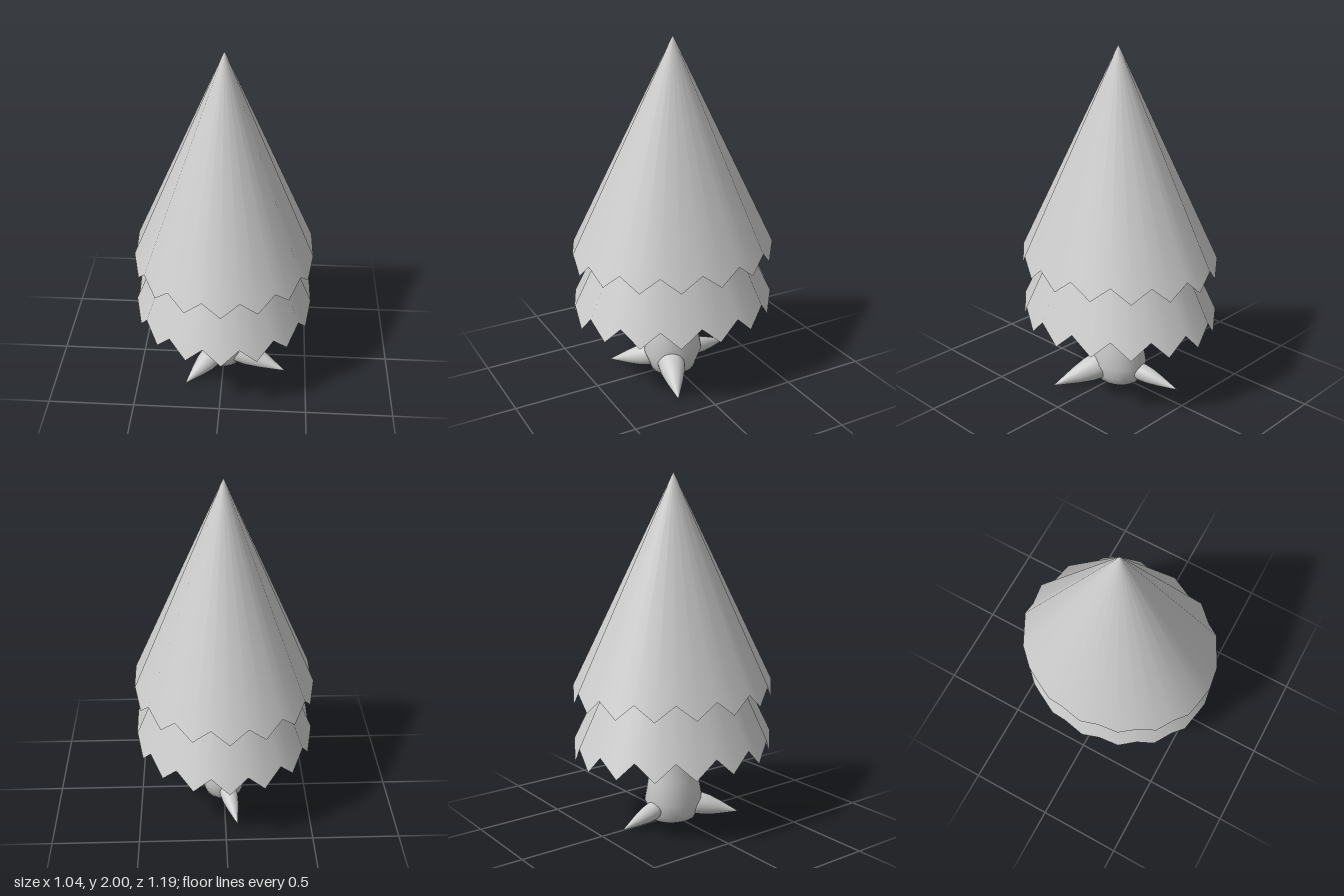
import * as THREE from 'three';

const TEETH = 16;
const material = new THREE.MeshStandardMaterial({ color: 0xcccccc, side: THREE.DoubleSide });

// Open cone whose rim alternates between low tips and high notches
function foliageTier(name, apexY, notchY, tipY) {
  const height = apexY - tipY;
  const geo = new THREE.ConeGeometry(1, height, TEETH * 2, 1, true);
  geo.translate(0, tipY + height / 2, 0);
  const pos = geo.attributes.position;
  const row = TEETH * 2 + 1;
  for (let i = 0; i < row; i++) {
    if (i % 2) pos.setY(row + i, notchY);
  }
  geo.rotateY(0.03);
  geo.scale(0.518, 1, 0.593);
  const mesh = new THREE.Mesh(geo, material);
  mesh.name = name;
  return mesh;
}

// Tapered spike with a rounded head, running from head to tip
function root(name, head, tip, r) {
  const from = new THREE.Vector3(...head);
  const axis = new THREE.Vector3(...tip).sub(from);
  const len = axis.length();
  const profile = [];
  for (let i = 0; i <= 6; i++) {
    const a = (i / 6) * Math.PI / 2;
    profile.push(new THREE.Vector2(r * Math.sin(a), -r * Math.cos(a)));
  }
  profile.push(
    new THREE.Vector2(r * 0.9, len * 0.22),
    new THREE.Vector2(r * 0.62, len * 0.5),
    new THREE.Vector2(0, len)
  );
  const mesh = new THREE.Mesh(new THREE.LatheGeometry(profile, 24), material);
  mesh.name = name;
  mesh.position.copy(from);
  mesh.quaternion.setFromUnitVectors(new THREE.Vector3(0, 1, 0), axis.normalize());
  return mesh;
}

export function createModel() {
  const group = new THREE.Group();
  group.name = 'pineTree';

  group.add(foliageTier('upperFoliage', 2, 0.82, 0.73));
  group.add(foliageTier('lowerFoliage', 1.68, 0.505, 0.4));

  // Trunk, widest just above the ground
  const profile = [[0, 0], [0.125, 0.005], [0.135, 0.04], [0.165, 0.12], [0.143, 0.25], [0.118, 0.45], [0.11, 0.75], [0, 0.9]]
    .map(([x, y]) => new THREE.Vector2(x, y));
  const trunk = new THREE.Mesh(new THREE.LatheGeometry(profile, 32), material);
  trunk.name = 'trunk';
  trunk.scale.set(0.93, 1, 1.07);
  group.add(trunk);

  // Three roots spreading over the ground
  group.add(root('leftRoot', [0.1, 0.088, 0.065], [0.38, 0.02, 0.17], 0.08));
  group.add(root('frontRoot', [-0.075, 0.075, 0.13], [-0.215, 0.02, 0.32], 0.066));
  group.add(root('backRoot', [-0.025, 0.078, -0.17], [-0.07, 0.035, -0.41], 0.052));
  return group;
}
